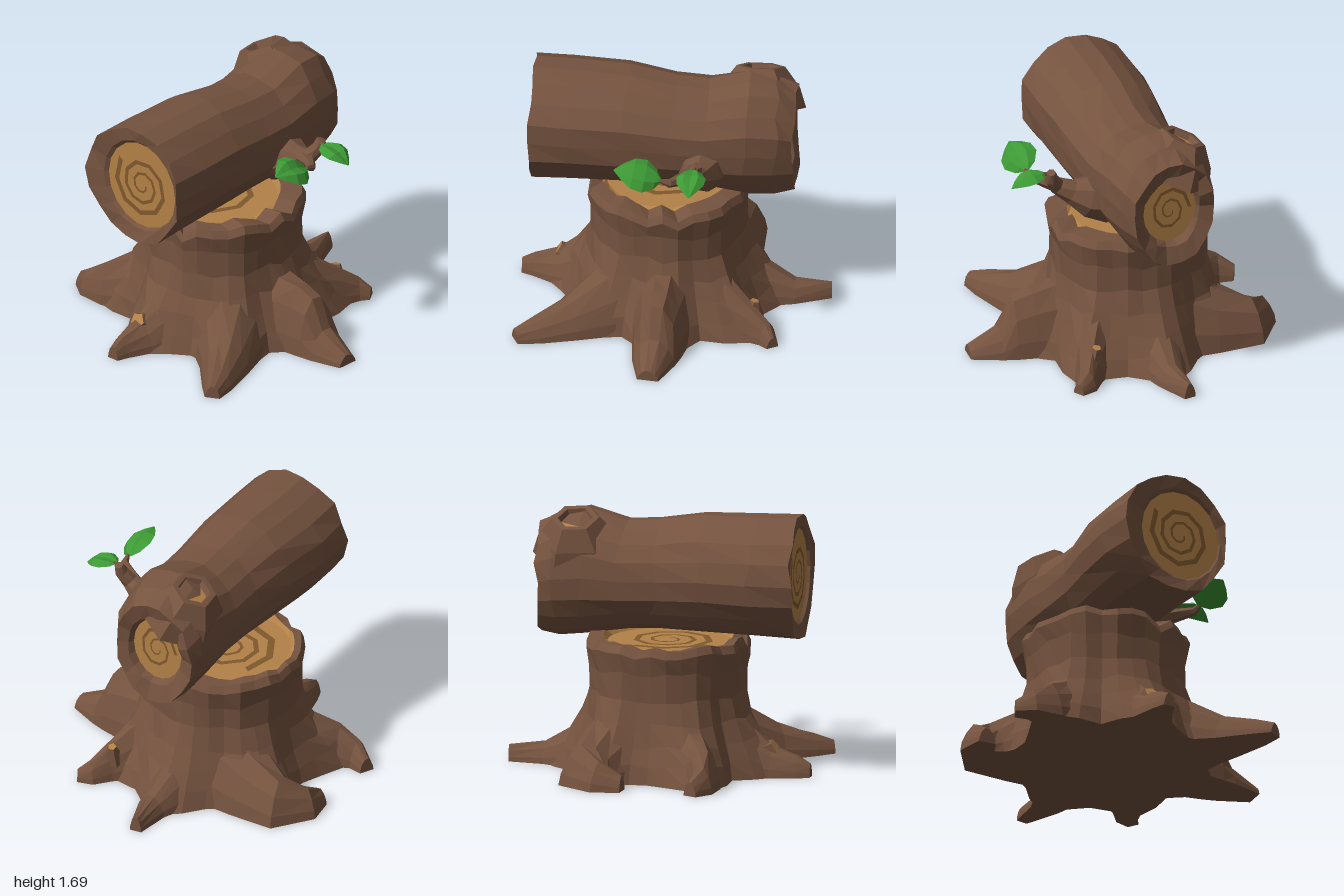
import * as THREE from 'three';

const mat = (name, color) => Object.assign(new THREE.MeshStandardMaterial({ color }), { name });
const V = (x, y, z) => new THREE.Vector3(x, y, z);

// Seeded noise in -1..1
let seed = 7;
const rnd = () => {
  seed = (seed * 16807) % 2147483647;
  return (seed / 2147483647) * 2 - 1;
};

// Faceted skin through equal rings; groups: 0 side, 1 first cap, 2 last cap.
// The last capStrips strips of the side take the colour of the last cap.
function loft(rings, capStrips = 0) {
  const n = rings[0].length, tris = [], groups = [];
  for (let i = 0; i < rings.length - 1; i++) {
    for (let j = 0; j < n; j++) {
      const k = (j + 1) % n, A = rings[i], B = rings[i + 1];
      tris.push([A[j], A[k], B[k]], [A[j], B[k], B[j]]);
    }
  }
  const strip = capStrips * n * 2;
  groups.push([tris.length - strip, 0], [strip, 2]);
  const cap = (ring, flip, slot) => {
    const c = ring.reduce((s, p) => s.add(p), V(0, 0, 0)).divideScalar(n);
    ring.forEach((p, j) => {
      const q = ring[(j + 1) % n];
      tris.push(flip ? [c, q, p] : [c, p, q]);
    });
    groups.push([n, slot]);
  };
  cap(rings[0], true, 1);
  cap(rings[rings.length - 1], false, 2);
  // Turn the skin outwards
  const volume = tris.reduce((s, [a, b, c]) => s + a.dot(b.clone().cross(c)), 0);
  const pts = tris.flatMap(([a, b, c]) => (volume < 0 ? [a, c, b] : [a, b, c]));
  const g = new THREE.BufferGeometry().setFromPoints(pts);
  let start = 0;
  groups.forEach(([count, slot]) => {
    g.addGroup(start * 3, count * 3, slot);
    start += count;
  });
  g.computeVertexNormals();
  return g;
}

// Tapering limb through [x, y, z, radius] points
function limb(points, n = 6) {
  const P = points.map((p) => V(p[0], p[1], p[2]));
  return loft(P.map((p, i) => {
    const dir = P[Math.min(i + 1, P.length - 1)].clone().sub(P[Math.max(i - 1, 0)]).normalize();
    const q = new THREE.Quaternion().setFromUnitVectors(V(0, 0, 1), dir);
    return Array.from({ length: n }, (_, j) => {
      const a = (j / n) * Math.PI * 2;
      return V(Math.cos(a), Math.sin(a), 0).multiplyScalar(points[i][3]).applyQuaternion(q).add(p);
    });
  }));
}

// Root with a flat underside through [x, z, half width, height] points
function root(points) {
  const arch = [[1, 0], [0.92, 0.3], [0.64, 0.72], [0.22, 1], [-0.26, 0.97], [-0.68, 0.68], [-0.94, 0.28], [-1, 0]];
  return loft(points.map(([x, z, w, h], i) => {
    const a = points[Math.max(i - 1, 0)], b = points[Math.min(i + 1, points.length - 1)];
    const d = V(b[0] - a[0], 0, b[1] - a[1]).normalize();
    return arch.map(([s, t]) => V(x - d.z * s * w, t * h * (1 + 0.05 * rnd()), z + d.x * s * w));
  }));
}

// Flat growth ring spiral facing +z
function spiral(rx, ry, turns) {
  const outer = [], inner = [], steps = Math.round(turns * 9);
  for (let i = 0; i <= steps; i++) {
    const t = i / steps, a = -t * turns * Math.PI * 2, r = 0.1 + 0.66 * t, w = 0.025 + 0.055 * t;
    outer.push(new THREE.Vector2(Math.cos(a) * rx * (r + w), Math.sin(a) * ry * (r + w)));
    inner.push(new THREE.Vector2(Math.cos(a) * rx * (r - w * 0.6), Math.sin(a) * ry * (r - w * 0.6)));
  }
  return new THREE.ShapeGeometry(new THREE.Shape([...outer, ...inner.reverse()]));
}

// Ridged leaf along +z
function leaf(length, width) {
  const section = [[-1, -0.25], [-0.5, 0.1], [0, -0.02], [0.5, 0.1], [1, -0.25], [0, -0.3]];
  const stations = [[0, 0.08], [0.12, 0.6], [0.35, 1], [0.6, 0.92], [0.82, 0.5], [1, 0.04]];
  return loft(stations.map(([t, w]) =>
    section.map(([x, y]) => V(x * w * width, y * w * width + 0.04 * Math.sin(t * Math.PI), t * length))));
}

export function createModel() {
  seed = 7;
  const model = new THREE.Group();
  const bark = mat('bark', 0x75533f), wood = mat('cut wood', 0xb38147);
  const grain = mat('growth ring', 0x80592c), green = mat('leaf green', 0x3d9a35);
  const add = (name, geometry, material) => {
    const m = new THREE.Mesh(geometry, material);
    m.name = name;
    model.add(m);
    return m;
  };

  // Roots
  const roots = {
    backLeftRoot: [[0.1, -0.2, 0.22, 0.5], [0.32, -0.38, 0.15, 0.33], [0.41, -0.54, 0.09, 0.21], [0.47, -0.64, 0.07, 0.13], [0.54, -0.68, 0.04, 0.07]],
    leftRoot: [[0.2, 0.03, 0.24, 0.48], [0.43, 0.04, 0.22, 0.44], [0.58, 0.04, 0.18, 0.42], [0.7, 0.05, 0.16, 0.37], [0.79, 0.06, 0.14, 0.18], [0.99, 0.08, 0.07, 0.07]],
    frontLeftRoot: [[0.1, 0.25, 0.28, 0.52], [0.31, 0.44, 0.24, 0.34], [0.44, 0.65, 0.16, 0.21], [0.55, 0.85, 0.1, 0.13], [0.61, 0.97, 0.05, 0.08]],
    frontRoot: [[-0.12, 0.3, 0.3, 0.52], [-0.15, 0.58, 0.21, 0.33], [-0.18, 0.76, 0.13, 0.18], [-0.2, 0.92, 0.07, 0.13], [-0.2, 1, 0.04, 0.09]],
    frontRightRoot: [[-0.35, 0.15, 0.26, 0.52], [-0.58, 0.31, 0.19, 0.36], [-0.75, 0.42, 0.11, 0.25], [-0.88, 0.43, 0.08, 0.17], [-0.98, 0.38, 0.05, 0.09]],
    backRightRoot: [[-0.35, -0.2, 0.32, 0.52], [-0.58, -0.28, 0.25, 0.37], [-0.78, -0.33, 0.19, 0.26], [-0.9, -0.22, 0.11, 0.18], [-0.91, -0.08, 0.06, 0.1]],
    backRoot: [[-0.1, -0.25, 0.26, 0.5], [-0.09, -0.52, 0.18, 0.27], [-0.07, -0.77, 0.1, 0.13], [-0.1, -1, 0.04, 0.1]],
  };
  for (const [name, points] of Object.entries(roots)) add(name, root(points), bark);
  add('frontRootStub', limb([[-0.18, 0.1, 0.64, 0.1], [-0.19, 0.185, 0.77, 0.055]], 5), [bark, bark, wood]);
  add('backRootStub', limb([[0.37, 0.12, -0.52, 0.08], [0.36, 0.235, -0.55, 0.03]], 5), [bark, bark, wood]);

  // Stump: trunk flaring towards each root, ragged bark rim, cut face inside
  const N = 32;
  const rootAngles = Object.values(roots).map((p) => Math.atan2(p[1][1] - 0.04, p[1][0] + 0.1));
  const flare = (a, y) => Math.max(0, 1 - y / 0.62) ** 1.6 * 0.24 * rootAngles.reduce((s, b) => {
    const d = Math.atan2(Math.sin(a - b), Math.cos(a - b));
    return s + Math.exp(-((d / 0.3) ** 2));
  }, 0);
  const ridge = Array.from({ length: N }, () => 1 + 0.035 * rnd());
  const rimY = Array.from({ length: N }, () => 0.868 + 0.018 * rnd());
  Object.assign(rimY, { 1: 0.83, 7: 0.79, 31: 0.83 });
  const levels = [[0, 0.58], [0.12, 0.565], [0.24, 0.535], [0.37, 0.505], [0.52, 0.49], [0.69, 0.5], [0.81, 0.525], [0.86, 0.5], [0.86, 0.42], [0.842, 0.395]];
  const stumpRings = levels.map(([y, r], i) => Array.from({ length: N }, (_, j) => {
    const a = (j / N) * Math.PI * 2;
    const k = i < 8 ? r * (ridge[j] + 0.01 * rnd()) + flare(a, y) : r;
    const h = i === 7 || i === 8 ? rimY[j] : i === 6 ? rimY[j] - 0.05 : i > 0 && i < 6 ? y + 0.02 * rnd() : y;
    return V((i < 8 ? -0.1 : -0.14) + Math.cos(a) * k, h, (i < 8 ? 0.04 : 0.06) + Math.sin(a) * k);
  }));
  add('stump', loft(stumpRings, 1), [bark, bark, wood]);
  const stumpSpiral = add('stumpGrowthRing', spiral(0.39, 0.39, 2.6), grain);
  stumpSpiral.rotation.x = -Math.PI / 2;
  stumpSpiral.position.set(-0.14, 0.847, 0.06);

  // Log: [z, centre x, centre y, radius x, radius y], hollowed at both ends
  const M = 18;
  const logRidge = Array.from({ length: M }, () => 1 + 0.035 * rnd());
  const stations = [
    [-0.7, -0.08, 1.22, 0.18, 0.22], [-0.74, -0.08, 1.22, 0.2, 0.25],
    [-0.77, -0.09, 1.225, 0.285, 0.365], [-0.66, -0.08, 1.25, 0.32, 0.41], [-0.48, -0.06, 1.27, 0.34, 0.425], [-0.22, -0.06, 1.255, 0.345, 0.36],
    [0, -0.06, 1.265, 0.35, 0.36], [0.3, -0.08, 1.285, 0.375, 0.39], [0.65, -0.1, 1.285, 0.395, 0.4], [0.92, -0.1, 1.285, 0.385, 0.405],
    [0.9, -0.06, 1.285, 0.3, 0.32], [0.88, -0.05, 1.285, 0.285, 0.3],
  ];
  const last = stations.length - 1;
  const endRag = Array.from({ length: M }, () => 0.02 * rnd());
  const logRings = stations.map(([z, cx, cy, rx, ry], i) => Array.from({ length: M }, (_, j) => {
    const a = (j / M) * Math.PI * 2, bumpy = i > 1 && i < last - 1;
    const k = bumpy ? logRidge[j] + (i > last - 4 ? 0.02 : 0.012) * rnd() : 1;
    const dz = i === 0 || i >= last - 1 ? 0 : i < 3 || i === last - 2 ? endRag[j] : 0.03 * rnd();
    return V(cx + Math.cos(a) * rx * k, cy + Math.sin(a) * ry * k, z + dz);
  }));
  add('log', loft(logRings), [bark, wood, wood]);
  add('frontGrowthRing', spiral(0.285, 0.3, 2.6), grain).position.set(-0.05, 1.285, 0.885);
  const backSpiral = add('backGrowthRing', spiral(0.18, 0.22, 2), grain);
  backSpiral.rotation.y = Math.PI;
  backSpiral.position.set(-0.08, 1.22, -0.705);

  // Broken knob leaning out of the log, with a hollow
  const knobRings = [[0, 0.3], [0.13, 0.255], [0.26, 0.155], [0.26, 0.115], [0.22, 0.1]].map(([y, r]) =>
    Array.from({ length: 6 }, (_, j) => {
      const a = (j / 6) * Math.PI * 2 + 0.4;
      return V(Math.cos(a) * r * 0.95, y, Math.sin(a) * r);
    }));
  const knob = add('logKnob', loft(knobRings), [bark, bark, wood]);
  knob.position.set(-0.14, 1.4, -0.53);
  knob.rotation.z = 0.44;

  // Forked twig
  add('branch', limb([[0.15, 1.13, -0.2, 0.18], [0.28, 1.15, -0.19, 0.14], [0.38, 1.19, -0.17, 0.08], [0.47, 1.24, -0.15, 0.055], [0.52, 1.31, -0.18, 0.045], [0.53, 1.37, -0.2, 0.03]], 7), bark);
  add('branchFork', limb([[0.43, 1.22, -0.14, 0.055], [0.53, 1.25, -0.08, 0.04], [0.6, 1.265, -0.02, 0.028], [0.61, 1.29, 0.04, 0.012]], 6), bark);
  add('leafStalk', limb([[0.51, 1.34, -0.18, 0.02], [0.58, 1.365, -0.18, 0.01]], 5), bark);

  // Leaves
  const frontLeaf = add('frontLeaf', leaf(0.31, 0.12), green);
  frontLeaf.position.set(0.6, 1.285, 0.03);
  frontLeaf.rotation.set(-0.2, 0, -0.5);
  const sideLeaf = add('sideLeaf', leaf(0.24, 0.095), green);
  sideLeaf.rotation.order = 'YXZ';
  sideLeaf.position.set(0.56, 1.36, -0.17);
  sideLeaf.rotation.set(0.3, Math.PI / 2 - 0.03, 0);
  return model;
}
